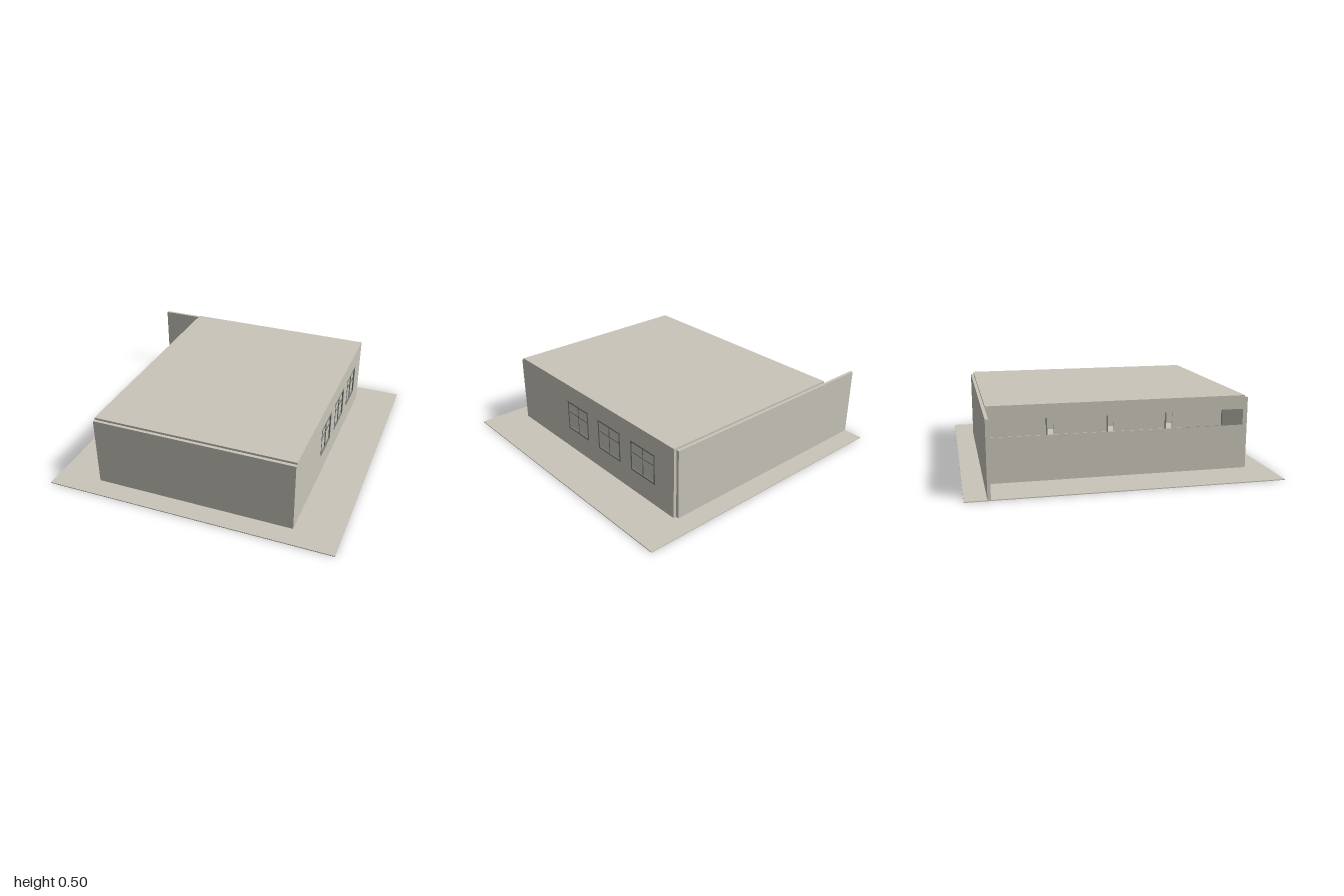
import * as THREE from 'three';

const wallMat = new THREE.MeshStandardMaterial({ color: 0xc9c5ba });
wallMat.name = 'pale plaster';
const frameMat = new THREE.MeshStandardMaterial({ color: 0x7c7f7d });
frameMat.name = 'grey frame';

// Box given by its minimum and maximum corners
function box(parent, name, mat, [x0, y0, z0], [x1, y1, z1]) {
  const mesh = new THREE.Mesh(new THREE.BoxGeometry(x1 - x0, y1 - y0, z1 - z0), mat);
  mesh.position.set((x0 + x1) / 2, (y0 + y1) / 2, (z0 + z1) / 2);
  mesh.name = name;
  parent.add(mesh);
  return mesh;
}

// Wall running along z from x0 to x1, with rectangular openings [za, zb, ya, yb]
function sideWall(parent, name, x0, x1, za, zb, top, openings) {
  const rect = (path, a, b, c, d) =>
    path.moveTo(-a, c).lineTo(-b, c).lineTo(-b, d).lineTo(-a, d).lineTo(-a, c);
  const shape = rect(new THREE.Shape(), za, zb, 0.005, top);
  for (const o of openings) shape.holes.push(rect(new THREE.Path(), ...o));
  const geo = new THREE.ExtrudeGeometry(shape, { depth: x1 - x0, bevelEnabled: false });
  geo.rotateY(Math.PI / 2);
  const mesh = new THREE.Mesh(geo, wallMat);
  mesh.position.x = x0;
  mesh.name = name;
  parent.add(mesh);
}

// Four-pane window set into the right-hand wall
function paneWindow(parent, [za, zb, ya, yb]) {
  const g = new THREE.Group();
  g.name = 'window';
  const t = 0.012, x0 = 0.668, x1 = 0.685, zm = (za + zb) / 2, ym = 0.29;
  box(g, 'pane', wallMat, [0.67, ya, za], [0.676, yb, zb]);
  box(g, 'frameBottom', frameMat, [x0, ya, za], [x1, ya + t, zb]);
  box(g, 'frameTop', frameMat, [x0, yb - t, za], [x1, yb, zb]);
  box(g, 'frameBack', frameMat, [x0, ya + t, za], [x1, yb - t, za + t]);
  box(g, 'frameFront', frameMat, [x0, ya + t, zb - t], [x1, yb - t, zb]);
  box(g, 'mullion', frameMat, [x0, ya + t, zm - 0.004], [x1 - 0.003, yb - t, zm + 0.004]);
  box(g, 'transom', frameMat, [x0, ym - 0.004, za + t], [x1 - 0.004, ym + 0.004, zb - t]);
  parent.add(g);
}

export function createModel() {
  const model = new THREE.Group();
  model.name = 'building';

  // Ground slab, end walls and roof
  box(model, 'groundSlab', wallMat, [-0.985, 0, -1], [0.985, 0.006, 1]);
  box(model, 'frontWall', wallMat, [-0.685, 0.005, 0.84], [0.683, 0.483, 0.86]);
  box(model, 'backWall', wallMat, [-0.985, 0.005, -0.865], [0.663, 0.483, -0.845]);
  box(model, 'roof', wallMat, [-0.685, 0.483, -0.845], [0.683, 0.497, 0.838]);

  // Right-hand wall with three windows
  const windows = [0.148, -0.204, -0.552].map(z => [z - 0.119, z + 0.119, 0.157, 0.372]);
  sideWall(model, 'windowWall', 0.663, 0.683, -0.845, 0.84, 0.483, windows);
  windows.forEach(w => paneWindow(model, w));

  // Opposite wall with a high strip opening
  const low = 0.3, high = 0.406;
  sideWall(model, 'stripWall', -0.685, -0.665, -0.845, 0.84, 0.483, [[-0.82, 0.83, low, high]]);

  // Panels closing the strip, with narrow gaps and an open end bay
  for (let i = 0; i < 4; i++) {
    const end = -0.475 + i * 0.385;
    box(model, 'stripPanel', wallMat,
      [-0.68, low, i === 0 ? -0.82 : end - 0.335], [-0.672, high, end]);
    box(model, 'stripPost', frameMat, [-0.687, low, end], [-0.67, high, end + 0.008]);
  }
  return model;
}
